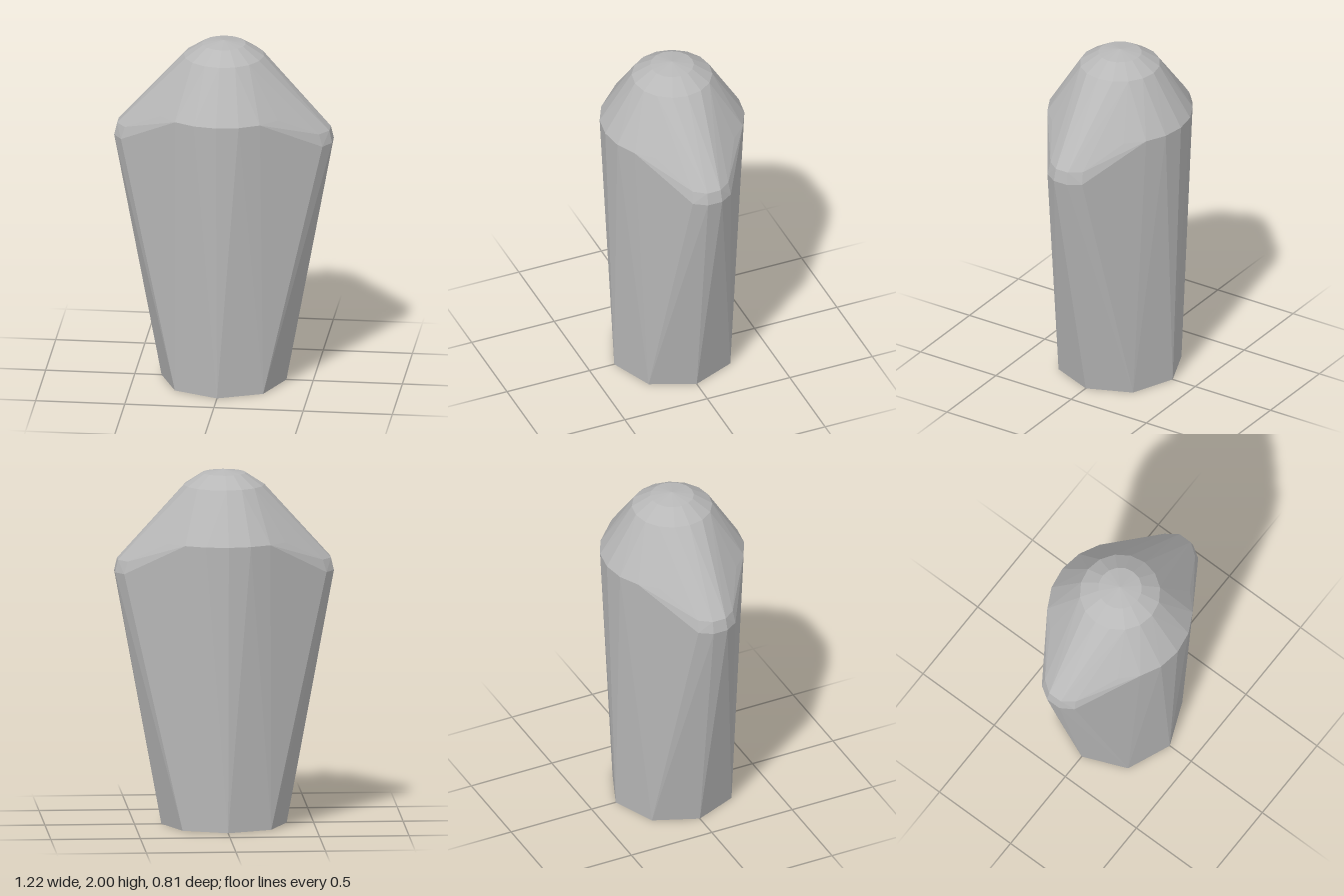
import * as THREE from 'three';
import { ConvexGeometry } from 'three/addons/geometries/ConvexGeometry.js';

export function createModel() {
  const group = new THREE.Group();
  const grey = new THREE.MeshStandardMaterial({ color: 0xb8b8b8 });
  grey.name = 'stone grey';
  const points = [];
  const add = (x, y, z) => points.push(new THREE.Vector3(x, y, z));
  const ring = (radius, y, sides) => {
    for (let i = 0; i < sides; i++) {
      const a = (i / sides) * Math.PI * 2;
      add(Math.sin(a) * radius, y, Math.cos(a) * radius);
    }
  };

  // Octagonal foot
  ring(0.35, 0, 8);
  // Domed crown
  ring(0.405, 1.62, 20);
  ring(0.225, 1.914, 16);
  ring(0.122, 1.981, 16);
  add(0, 2, 0);
  // Bevelled shoulders, mirrored left/right and front/back
  for (const sx of [-1, 1]) {
    for (const sz of [-1, 1]) {
      add(sx * 0.611, 1.43, sz * 0.043);
      add(sx * 0.565, 1.43, sz * 0.115);
      add(sx * 0.595, 1.5, sz * 0.04);
      add(sx * 0.545, 1.5, sz * 0.108);
    }
  }

  // Faceted skin stretched tightly over all sections
  const body = new THREE.Mesh(new ConvexGeometry(points), grey);
  body.name = 'facetedBody';
  group.add(body);
  return group;
}
